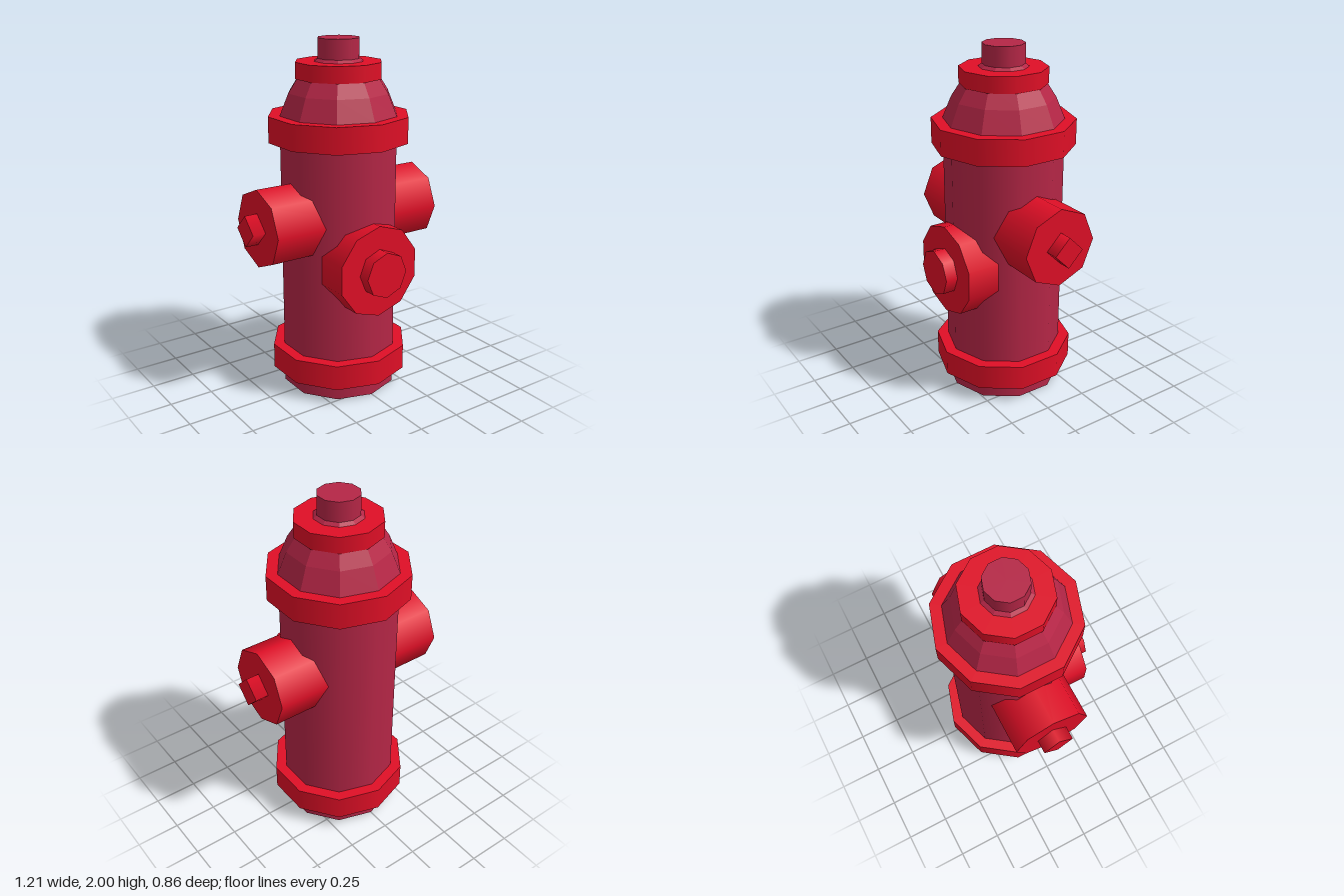
import * as THREE from 'three';

export function createModel() {
  const model = new THREE.Group();
  model.name = 'fireHydrant';

  // open-bottomed shells show their insides
  const red = new THREE.MeshStandardMaterial({ name: 'bright red', color: 0xdf0f26, side: THREE.DoubleSide });
  const maroon = new THREE.MeshStandardMaterial({ name: 'maroon', color: 0xb52646, side: THREE.DoubleSide });

  const axisZ = -0.03; // the barrel sits slightly behind the centre

  const add = (name, geometry, material, parent = model) => {
    const mesh = new THREE.Mesh(geometry, material);
    mesh.name = name;
    parent.add(mesh);
    return mesh;
  };

  // upright prism between two heights, open at both ends or closed by a top disc
  const upright = (name, radius, y0, y1, material, topped) => {
    const wall = new THREE.CylinderGeometry(radius, radius, y1 - y0, 10, 1, true);
    wall.translate(0, (y0 + y1) / 2, axisZ);
    add(name, wall, material);
    if (topped) {
      const disc = new THREE.CircleGeometry(radius, 10, Math.PI / 2);
      disc.rotateX(-Math.PI / 2).translate(0, y1, axisZ);
      add(name + 'Top', disc, material);
    }
  };

  // barrel, flanges and top nut
  upright('barrel', 0.333, 0, 1.59, maroon, false);
  upright('bottomFlange', 0.397, 0.095, 0.24, red, true);
  upright('topFlange', 0.397, 1.445, 1.59, red, true);
  upright('bonnetCollar', 0.242, 1.785, 1.875, red, true);
  upright('topNut', 0.117, 1.87, 2, maroon, true);

  // faceted bonnet
  const profile = [[0.333, 1.59], [0.283, 1.71], [0.215, 1.815], [0.105, 1.9]]
    .map(([r, y]) => new THREE.Vector2(r, y));
  const bonnet = new THREE.LatheGeometry(profile, 10).toNonIndexed();
  bonnet.computeVertexNormals();
  add('bonnet', bonnet.translate(0, 0, axisZ), maroon);

  // outlet built along +y from the barrel axis: cap and nut
  const outlet = (name, radius, sides, length, nutRadius, nutSides, nutLength) => {
    const group = new THREE.Group();
    group.name = name;
    const cap = new THREE.CylinderGeometry(radius, radius, length, sides);
    add(name + 'Cap', cap.translate(0, length / 2, 0), red, group);
    const nut = new THREE.CylinderGeometry(nutRadius, nutRadius, nutLength, nutSides);
    add(name + 'Nut', nut.translate(0, length + nutLength / 2, 0), red, group);
    model.add(group);
    return group;
  };

  // side outlets, mirrored
  for (const side of [1, -1]) {
    const group = outlet(side > 0 ? 'leftOutlet' : 'rightOutlet', 0.22, 8, 0.53, 0.088, 4, 0.075);
    group.rotation.z = -side * Math.PI / 2;
    group.position.set(0, 1.016, axisZ);
  }

  // larger front outlet
  const front = outlet('frontOutlet', 0.26, 10, 0.36, 0.13, 8, 0.07);
  front.rotation.x = Math.PI / 2;
  front.position.set(0, 0.778, 0);

  return model;
}
